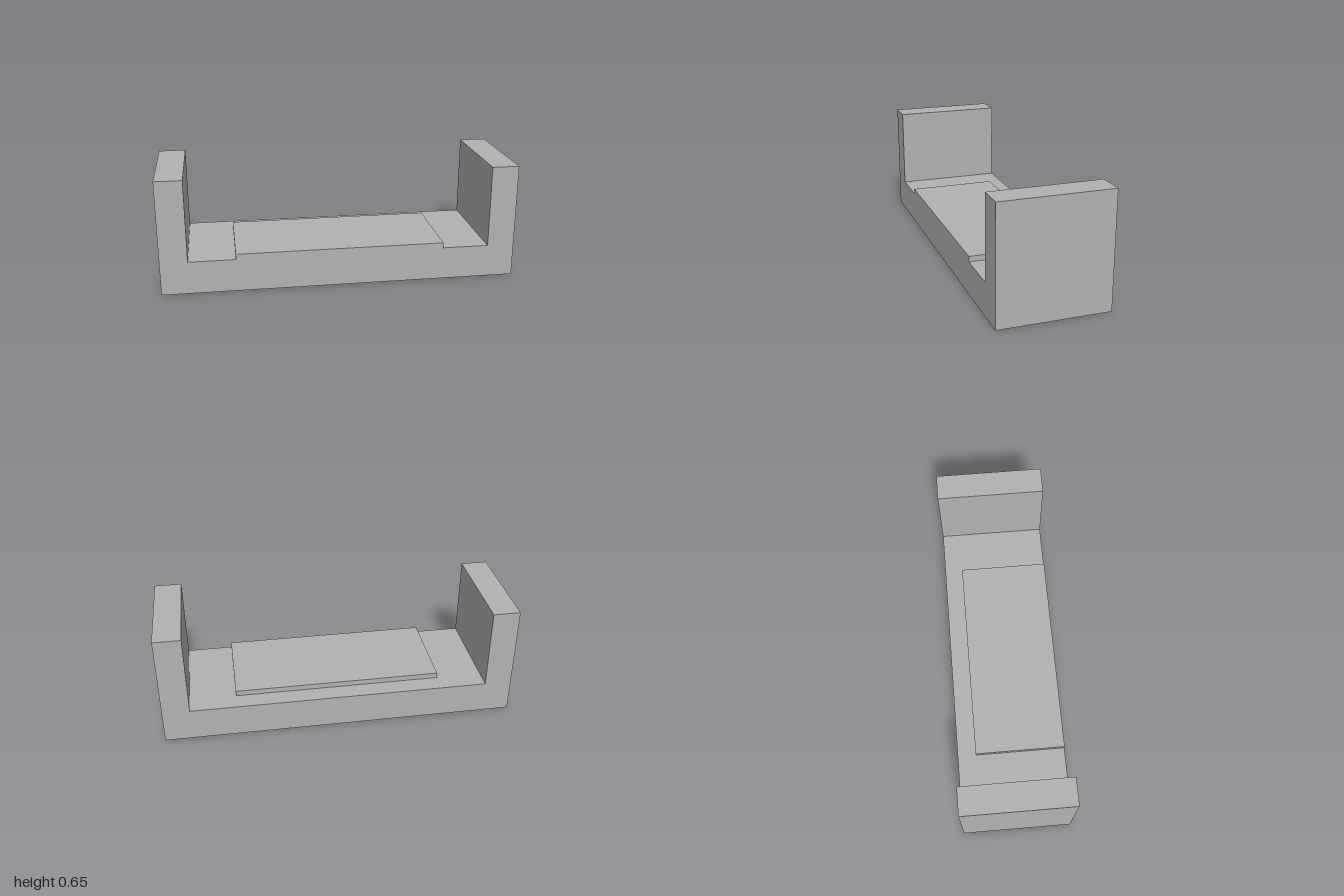
import * as THREE from 'three';

export function createModel() {
  const model = new THREE.Group();
  const grey = new THREE.MeshStandardMaterial({ color: 0xb2b2b2 });
  grey.name = 'plain grey';

  const depth = 0.62, height = 0.652, floor = 0.187, innerX = 0.847;

  // U-shaped cradle: floor and two upright end walls in one piece
  const profile = new THREE.Shape([
    [-1, 0], [1, 0], [1, height], [innerX, height],
    [innerX, floor], [-innerX, floor], [-innerX, height], [-1, height],
  ].map(([x, y]) => new THREE.Vector2(x, y)));
  const cradleGeometry = new THREE.ExtrudeGeometry(profile, { depth, bevelEnabled: false });
  cradleGeometry.translate(0, 0, -depth / 2);
  const cradle = new THREE.Mesh(cradleGeometry, grey);
  cradle.name = 'cradle';
  model.add(cradle);

  // Thin raised panel, flush with the front edge
  const panelBack = -0.205, panelHeight = 0.031;
  const panel = new THREE.Mesh(
    new THREE.BoxGeometry(1.172, panelHeight, depth / 2 - panelBack), grey);
  panel.position.set(0, floor + panelHeight / 2, (depth / 2 + panelBack) / 2);
  panel.name = 'raisedPanel';
  model.add(panel);

  return model;
}
